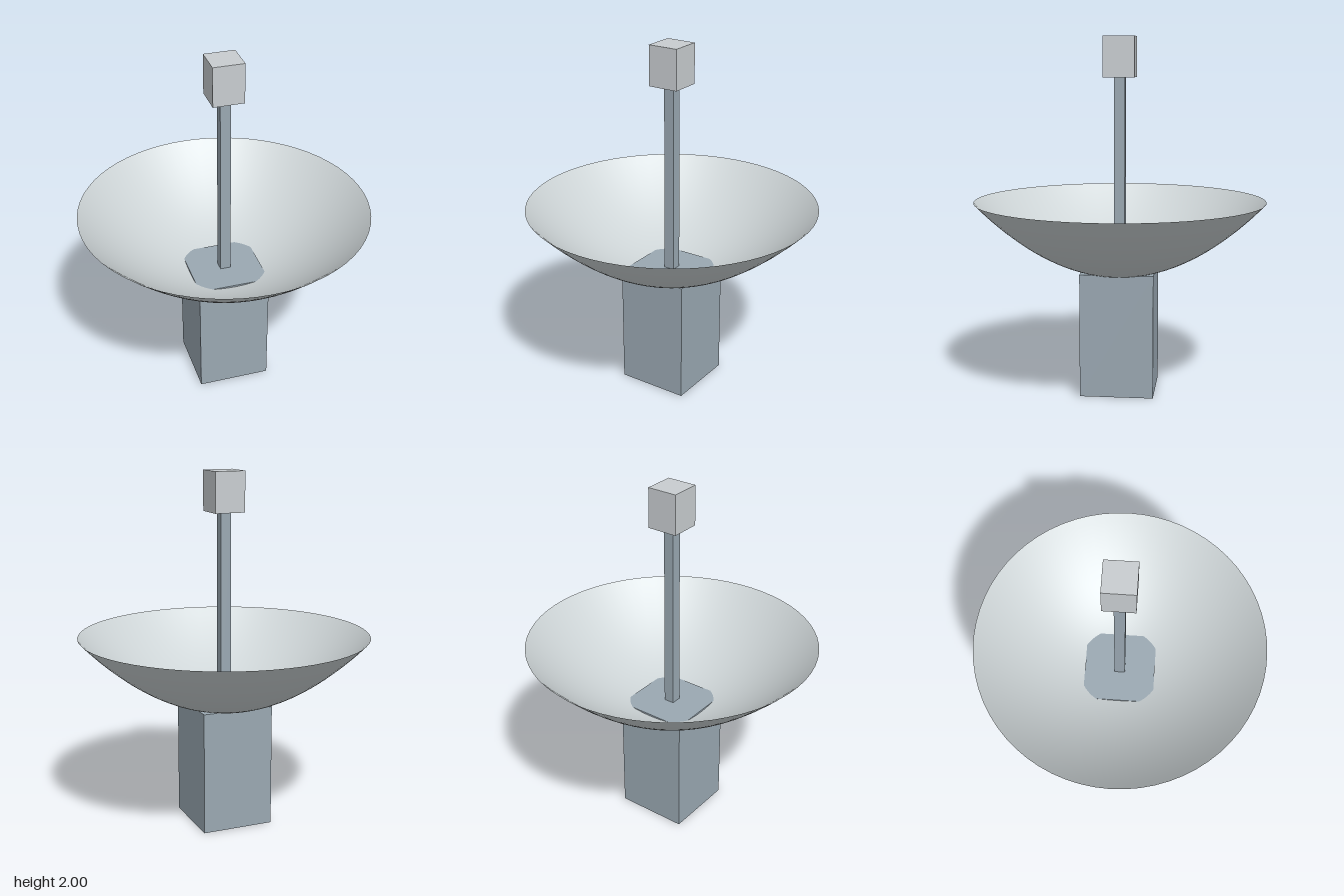
import * as THREE from 'three';

function paint(name, color, side = THREE.FrontSide) {
  const material = new THREE.MeshStandardMaterial({ color, side });
  material.name = name;
  return material;
}

// Square upright block standing between two heights
function block(name, width, bottom, top, material) {
  const mesh = new THREE.Mesh(new THREE.BoxGeometry(width, top - bottom, width), material);
  mesh.name = name;
  mesh.position.y = (bottom + top) / 2;
  return mesh;
}

export function createModel() {
  const group = new THREE.Group();
  group.name = 'dishAntenna';

  const steel = paint('blue grey steel', 0x9aa8b2);
  const pale = paint('pale grey', 0xc8cdd0);
  const dishPaint = paint('light dish grey', 0xcdd4d6, THREE.DoubleSide);

  // Pedestal, whose top pokes through the bottom of the dish
  group.add(block('pedestal', 0.41, 0, 0.695, steel));

  // Thin parabolic dish, open at the top
  const rim = 0.82, low = 0.658, high = 1.085, steps = 24;
  const profile = [];
  for (let i = 0; i <= steps; i++) {
    const t = i / steps;
    profile.push(new THREE.Vector2(rim * t, low + (high - low) * t * t));
  }
  const dish = new THREE.Mesh(new THREE.LatheGeometry(profile, 64), dishPaint);
  dish.name = 'dish';
  group.add(dish);

  // Mast and receiver head
  group.add(block('mast', 0.06, 0.69, 1.78, steel));
  group.add(block('receiverHead', 0.175, 1.775, 2, pale));

  return group;
}
